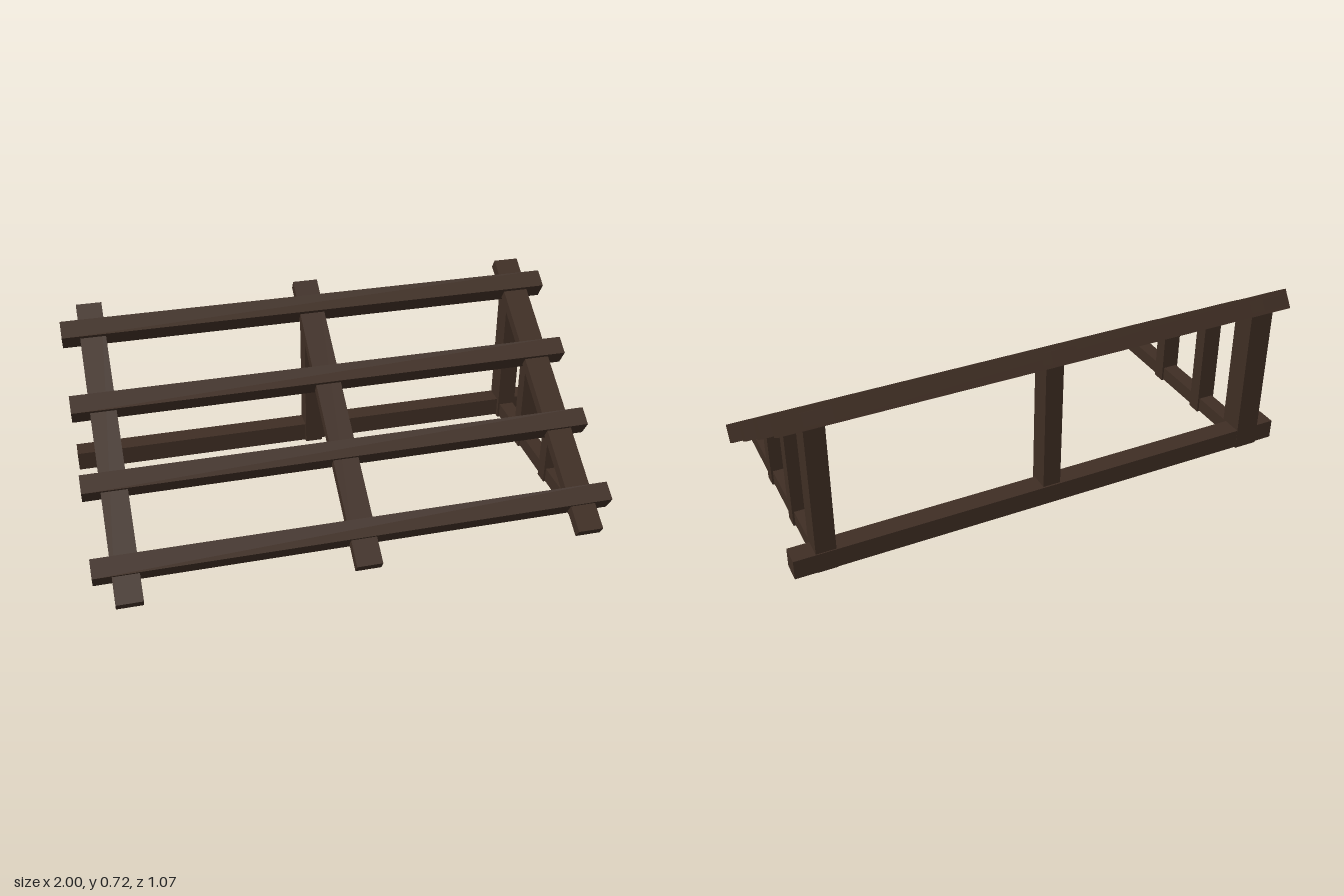
import * as THREE from 'three';

export function createModel() {
  const model = new THREE.Group();
  const wood = new THREE.MeshStandardMaterial({ color: 0x3f2e24 });
  wood.name = 'dark brown wood';

  const slope = Math.atan2(0.678, 1.045);
  const beam = (name, size, pos, tilt = 0) => {
    const mesh = new THREE.Mesh(new THREE.BoxGeometry(...size), wood);
    mesh.name = name;
    mesh.position.set(...pos);
    mesh.rotation.x = tilt;
    model.add(mesh);
  };
  // upright timber given by its bottom and top heights
  const post = (name, x, z, w, d, y0, y1) =>
    beam(name, [w, y1 - y0, d], [x, (y0 + y1) / 2, z]);

  // sloping rafters
  for (const x of [-0.88, 0, 0.88]) {
    beam('rafter', [0.1, 0.044, 1.246], [x, 0.358, 0], slope);
  }

  // long crossbars let into the rafters
  for (const [z, y] of [[0.398, 0.092], [0.124, 0.272], [-0.15, 0.453], [-0.424, 0.633]]) {
    beam('crossbar', [2, 0.076, 0.076], [0, y, z], slope);
  }

  // ground beam along the back
  beam('backGroundBeam', [2, 0.077, 0.078], [0, 0.06, -0.426]);

  // tall back posts
  post('backPost', -0.88, -0.418, 0.095, 0.095, 0.016, 0.62);
  post('backPost', 0, -0.416, 0.07, 0.085, 0.02, 0.62);
  post('backPost', 0.88, -0.416, 0.075, 0.09, 0.016, 0.62);

  // side frames: ground rail with two shorter posts
  for (const x of [-0.88, 0.88]) {
    beam('sideGroundRail', [0.06, 0.058, 0.89], [x, 0.049, 0], 0.005);
    post('shortPost', x, 0.127, 0.075, 0.056, 0.016, 0.27);
    post('middlePost', x, -0.149, 0.075, 0.056, 0.016, 0.45);
  }

  return model;
}
